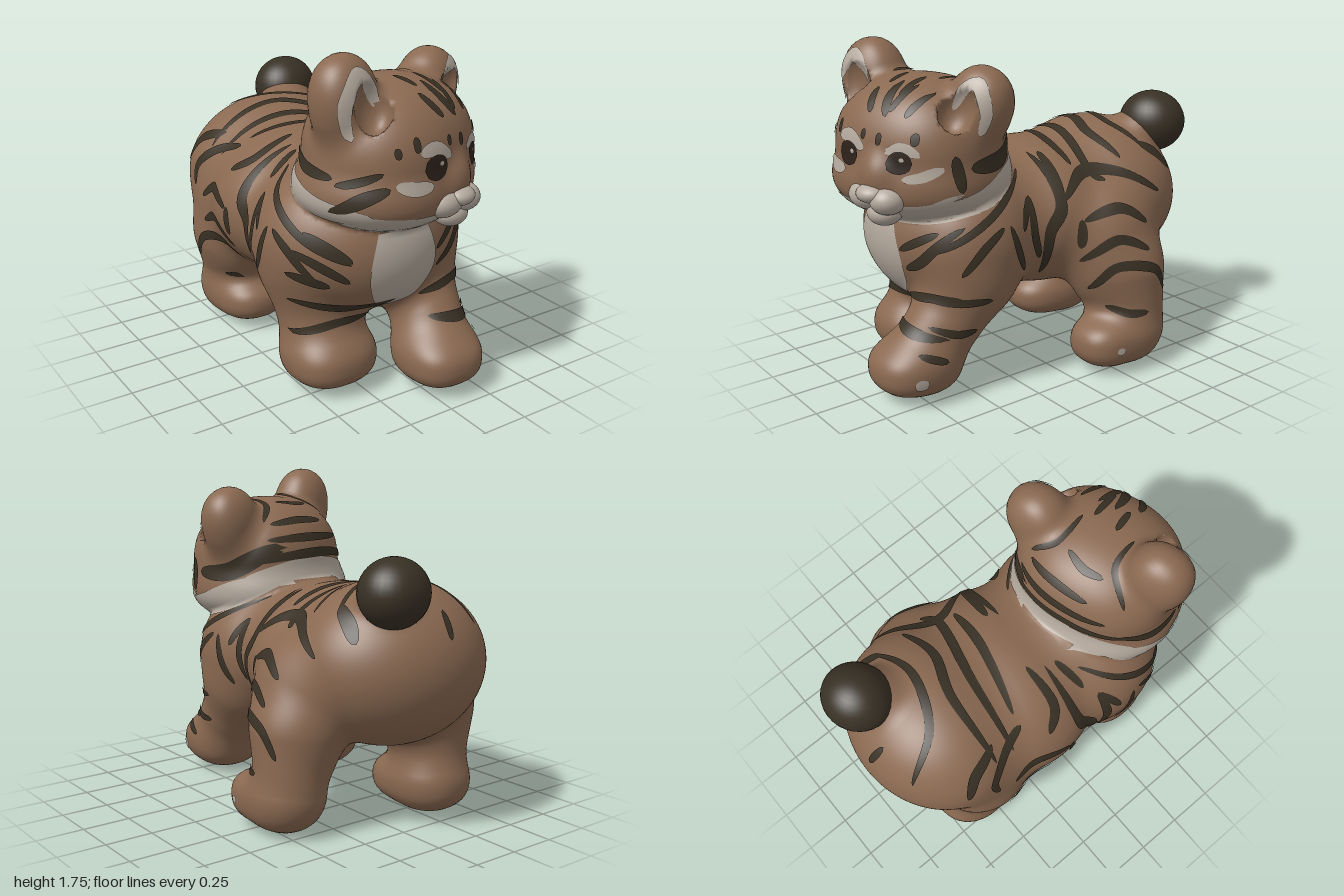
import * as THREE from 'three';

const mat = (name, color) => Object.assign(new THREE.MeshStandardMaterial({ color }), { name });
const FUR = mat('brown fur', 0x8a6951);
const CREAM = mat('cream fur', 0xb5aa9e);
const DARK = mat('dark stripe', 0x383024);
const EYE = mat('eye', 0x2e221b);

// Rounded solid: centre, radii, [yaw, roll], exponent above 2 for a boxier form
function blob(part, c, r, [yaw, roll] = [0, 0], n = 2) {
  const centre = new THREE.Vector3(...c), R = Math.max(...r) * 1.25;
  const inv = new THREE.Quaternion().setFromEuler(new THREE.Euler(0, yaw, roll, 'YXZ')).invert();
  const q = new THREE.Vector3();
  const dist = p => {
    q.subVectors(p, centre);
    const far = q.length() - R;
    if (far > 0.2) return far;
    q.applyQuaternion(inv);
    const a = [Math.abs(q.x) / r[0], Math.abs(q.y) / r[1], Math.abs(q.z) / r[2]];
    const k = Math.max(1e-4, n === 2 ? Math.hypot(...a) : (a[0] ** n + a[1] ** n + a[2] ** n) ** (1 / n));
    let g = 0;
    for (let i = 0; i < 3; i++) g += ((n === 2 ? a[i] / k : (a[i] / k) ** (n - 1)) / r[i]) ** 2;
    return (k - 1) / Math.sqrt(g);
  };
  return { part, dist };
}

// Tapered limb between two points
function limb(part, a, b, ra, rb) {
  const A = new THREE.Vector3(...a), d = new THREE.Vector3(...b).sub(A), q = new THREE.Vector3();
  const dist = p => {
    q.subVectors(p, A);
    const t = Math.min(1, Math.max(0, q.dot(d) / d.lengthSq()));
    return q.addScaledVector(d, -t).length() - ra - (rb - ra) * t;
  };
  return { part, dist };
}

const YAW = 0.33; // the head looks a little to its left
const bodySolids = [
  blob('torso', [-0.12, 0.78, 0.35], [0.5, 0.42, 0.45]),
  blob('torso', [-0.11, 0.78, -0.14], [0.53, 0.4, 0.5]),
  blob('torso', [-0.06, 0.83, -0.56], [0.515, 0.42, 0.44]),
  blob('frontRightLeg', [-0.42, 0.72, 0.3], [0.22, 0.3, 0.28]),
  blob('frontLeftLeg', [0.18, 0.7, 0.42], [0.2, 0.3, 0.25]),
  blob('hindLeftLeg', [0.35, 0.62, -0.36], [0.22, 0.35, 0.28]),
  blob('hindRightLeg', [-0.37, 0.6, -0.46], [0.23, 0.32, 0.28]),
  limb('frontLeftLeg', [0.16, 0.55, 0.43], [0.12, 0.22, 0.69], 0.2, 0.18),
  blob('frontLeftLeg', [0.105, 0.16, 0.75], [0.205, 0.135, 0.22], [0, 0], 2.5),
  limb('frontRightLeg', [-0.35, 0.55, 0.29], [-0.35, 0.23, 0.39], 0.24, 0.205),
  blob('frontRightLeg', [-0.355, 0.155, 0.44], [0.225, 0.135, 0.22], [0, 0], 2.5),
  limb('hindLeftLeg', [0.42, 0.5, -0.4], [0.455, 0.21, -0.42], 0.21, 0.18),
  blob('hindLeftLeg', [0.465, 0.155, -0.28], [0.175, 0.135, 0.23], [0, 0], 2.5),
  limb('hindRightLeg', [-0.36, 0.5, -0.52], [-0.34, 0.21, -0.58], 0.22, 0.18),
  blob('hindRightLeg', [-0.34, 0.145, -0.49], [0.2, 0.135, 0.27], [0, 0], 2.4),
  blob('tailBase', [0.13, 1.18, -0.745], [0.13, 0.11, 0.11]),
];
const headSolids = [
  blob('head', [-0.085, 1.24, 0.55], [0.43, 0.36, 0.38], [YAW, 0], 2.25),
  blob('head', [-0.1, 1.09, 0.54], [0.455, 0.2, 0.41], [YAW, 0], 2.2),
  blob('head', [0.05, 1.16, 0.86], [0.09, 0.11, 0.09], [YAW, 0]),
  blob('rightEar', [-0.385, 1.52, 0.62], [0.175, 0.23, 0.145], [YAW, 0.2], 2.2),
  blob('leftEar', [0.235, 1.455, 0.42], [0.17, 0.215, 0.145], [YAW, -0.4], 2.2),
];
const earHollows = [
  blob('hollow', [-0.335, 1.53, 0.785], [0.1, 0.14, 0.08], [YAW, 0.2]),
  blob('hollow', [0.29, 1.475, 0.585], [0.09, 0.13, 0.08], [YAW, -0.4]),
];
const solids = [...bodySolids, ...headSolids];

const blend = (a, b, k) => Math.min(a, b) - Math.max(k - Math.abs(a - b), 0) ** 2 / (4 * k);
const joined = (list, p, k) => list.reduce((d, s) => blend(d, s.dist(p), k), 9);
function field(p) {
  let d = blend(joined(bodySolids, p, 0.1), joined(headSolids, p, 0.06), 0.02);
  for (const h of earHollows) d = Math.max(d, -h.dist(p));
  return d;
}
function slope(p) {
  const g = new THREE.Vector3(), q = new THREE.Vector3();
  for (const a of ['x', 'y', 'z']) {
    q.copy(p); q[a] += 0.005; g[a] = field(q);
    q[a] -= 0.01; g[a] -= field(q);
  }
  return g.normalize();
}

// Skin the blended solids on a grid and split the skin into named parts
function addSkin(group) {
  const h = 0.02, lo = [-0.76, -0.06, -1.08], n = [76, 94, 108];
  const step = [1, n[0], n[0] * n[1]], total = n[0] * n[1] * n[2];
  const at = i => [i % n[0], Math.floor(i / n[0]) % n[1], Math.floor(i / step[2])];
  const val = new Float32Array(total), p = new THREE.Vector3();
  for (let i = 0; i < total; i++) {
    const c = at(i);
    val[i] = field(p.set(lo[0] + c[0] * h, lo[1] + c[1] * h, lo[2] + c[2] * h));
  }
  const id = new Int32Array(total).fill(-1), pos = [], nor = [], owner = [], faces = {};
  const corner = [0, 1, 2, 3, 4, 5, 6, 7].map(b => (b & 1) * step[0] + (b >> 1 & 1) * step[1] + (b >> 2) * step[2]);
  for (let i = 0; i < total; i++) {
    const c = at(i);
    if (c.some((v, a) => v >= n[a] - 1)) continue;
    const sum = [0, 0, 0];
    let hits = 0;
    for (let b = 0; b < 8; b++) for (let a = 0; a < 3; a++) {
      if (b >> a & 1) continue;
      const u = val[i + corner[b]], v = val[i + corner[b | 1 << a]];
      if ((u < 0) === (v < 0)) continue;
      for (let e = 0; e < 3; e++) sum[e] += e === a ? u / (u - v) : b >> e & 1;
      hits++;
    }
    if (!hits) continue;
    id[i] = owner.length;
    p.set(...sum.map((s, a) => lo[a] + (c[a] + s / hits) * h));
    pos.push(p.x, p.y, p.z);
    nor.push(...slope(p).toArray());
    let best = 9, name = '';
    for (const s of solids) { const d = s.dist(p); if (d < best) { best = d; name = s.part; } }
    owner.push(name);
  }
  for (let i = 0; i < total; i++) for (let a = 0; a < 3; a++) {
    const j = i + step[a];
    if (j >= total || (val[i] < 0) === (val[j] < 0)) continue;
    const b = step[(a + 1) % 3], c = step[(a + 2) % 3];
    const q = [i - b - c, i - c, i, i - b].map(k => id[k]);
    if (val[i] >= 0) q.reverse();
    (faces[owner[q[0]]] ??= []).push(q[0], q[1], q[2], q[0], q[2], q[3]);
  }
  for (const [name, index] of Object.entries(faces)) {
    const g = new THREE.BufferGeometry();
    g.setAttribute('position', new THREE.Float32BufferAttribute(pos, 3));
    g.setAttribute('normal', new THREE.Float32BufferAttribute(nor, 3));
    g.setIndex(index);
    const mesh = new THREE.Mesh(g.toNonIndexed(), FUR);
    mesh.name = name;
    group.add(mesh);
  }
}

// Smooth egg-shaped part turned with the head
function ball(group, name, material, c, r) {
  const mesh = new THREE.Mesh(new THREE.SphereGeometry(1, 32, 20), material);
  mesh.name = name;
  mesh.position.set(...c); mesh.scale.set(...r); mesh.rotation.y = YAW;
  group.add(mesh);
}

// Sides from which markings are laid on the skin: start point, direction, reach
const SIDES = {
  left: [(u, v) => [1.2, v, u], [-1, 0, 0], 1.5], right: [(u, v) => [-1.2, v, u], [1, 0, 0], 1.5],
  front: [(u, v) => [u, v, 1.4], [0, 0, -1], 1.4], top: [(u, v) => [u, 2.1, v], [0, -1, 0], 1.4],
  back: [(u, v) => [u, v, -1.4], [0, 0, 1], 0.8], nape: [(u, v) => [u, v, 0.05], [0, 0, 1], 0.5],
  face: [(u, v) => [-0.02 + 0.946 * u, v, 0.73 - 0.324 * u], [-0.324, 0, -0.946], 0.3],
};

// Strokes are [half width, u, v, u, v, ...], tapered at both ends
function paint(group, name, material, side, lift, strokes) {
  const [start, way, reach] = SIDES[side], dir = new THREE.Vector3(...way), pos = [], nor = [];
  const land = (u, v) => {
    const p = new THREE.Vector3(...start(u, v));
    let far = 0;
    for (let i = 0; i < 150 && far < reach; i++) {
      const d = field(p);
      if (d < -0.01) return null;
      if (d < 0.0006) { const m = slope(p); return { far, m, p: p.addScaledVector(m, lift) }; }
      p.addScaledVector(dir, d * 0.7); far += d * 0.7;
    }
    return null;
  };
  for (const [w, ...uv] of strokes) {
    const pts = [];
    for (let i = 0; i < uv.length; i += 2) pts.push(new THREE.Vector2(uv[i], uv[i + 1]));
    const line = new THREE.SplineCurve(pts);
    const along = Math.max(8, Math.ceil(line.getLength() / 0.022)), across = Math.max(2, Math.ceil(w / 0.012));
    const rows = [];
    for (let i = 0; i <= along; i++) {
      const t = i / along, c = line.getPoint(t), d = line.getTangent(t);
      const half = w * Math.sqrt(Math.max(0.002, Math.sin(Math.PI * t)));
      rows.push(Array.from({ length: across + 1 }, (_, j) => {
        const o = half * (2 * j / across - 1);
        return land(c.x - d.y * o, c.y + d.x * o);
      }));
    }
    for (let i = 0; i < along; i++) for (let j = 0; j < across; j++) {
      const q = [rows[i][j], rows[i + 1][j], rows[i + 1][j + 1], rows[i][j + 1]];
      if (q.includes(null)) continue;
      const f = q.map(s => s.far);
      if (Math.max(...f) - Math.min(...f) > 0.08) continue;
      const face = q[2].p.clone().sub(q[0].p).cross(q[3].p.clone().sub(q[1].p));
      if (face.dot(q[0].m) < 0) q.reverse();
      for (const k of [0, 1, 2, 0, 2, 3]) { pos.push(...q[k].p.toArray()); nor.push(...q[k].m.toArray()); }
    }
  }
  const g = new THREE.BufferGeometry();
  g.setAttribute('position', new THREE.Float32BufferAttribute(pos, 3));
  g.setAttribute('normal', new THREE.Float32BufferAttribute(nor, 3));
  const mesh = new THREE.Mesh(g, material);
  mesh.name = name;
  group.add(mesh);
}

export function createModel() {
  const group = new THREE.Group();
  group.name = 'tigerCub';
  addSkin(group);

  // Tail tip and muzzle
  ball(group, 'tailTip', DARK, [0.16, 1.22, -0.83], [0.185, 0.17, 0.17]);
  ball(group, 'rightMuzzlePad', CREAM, [-0.02, 1.055, 0.89], [0.105, 0.075, 0.095]);
  ball(group, 'leftMuzzlePad', CREAM, [0.115, 1.05, 0.865], [0.09, 0.072, 0.095]);
  ball(group, 'nose', CREAM, [0.055, 1.08, 0.91], [0.085, 0.05, 0.085]);
  ball(group, 'chin', CREAM, [0.06, 0.975, 0.855], [0.09, 0.065, 0.085]);

  // Flank stripes: the shoulder and belly ones match, the hip ones differ
  const flank = [
    [0.018, 0.14, 1.09, 0.46, 0.92, 0.72, 0.76], [0.022, 0.38, 0.88, 0.5, 0.79, 0.6, 0.66],
    [0.022, 0.34, 0.88, 0.29, 0.73, 0.23, 0.62], [0.022, 0.16, 0.98, 0.21, 0.91, 0.25, 0.83],
    [0.026, 0.16, 0.98, 0.17, 0.8, 0.12, 0.66], [0.032, 0, 1.14, 0, 0.92, 0.08, 0.78, 0.07, 0.55],
    [0.024, -0.09, 0.84, -0.08, 0.69], [0.026, -0.1, 0.83, -0.29, 0.88, -0.44, 0.79],
    [0.026, -0.08, 0.62, -0.24, 0.73, -0.41, 0.66], [0.026, -0.13, 0.46, -0.22, 0.59, -0.42, 0.56, -0.51, 0.42],
    [0.024, -0.2, 0.37, -0.28, 0.33, -0.38, 0.33],
  ];
  for (const side of ['left', 'right']) paint(group, side + 'FlankStripes', DARK, side, 0.006, flank);
  paint(group, 'leftHipStripes', DARK, 'left', 0.006,
    [[0.027, -0.02, 0.94, -0.18, 1.04, -0.4, 1.03, -0.61, 0.91], [0.028, -0.6, 1.14, -0.7, 1.08, -0.78, 0.99]]);
  paint(group, 'rightHipStripes', DARK, 'right', 0.006,
    [[0.026, -0.46, 1.11, -0.62, 1.05, -0.7, 0.92], [0.026, -0.28, 1.08, -0.44, 1.03, -0.55, 0.93, -0.54, 0.82]]);
  paint(group, 'rumpStripe', DARK, 'back', 0.006, [[0.02, -0.1, 1.12, -0.08, 0.99]]);
  paint(group, 'leftForelegStripes', DARK, 'left', 0.006,
    [[0.022, 0.7, 0.52, 0.58, 0.52, 0.45, 0.52], [0.022, 0.74, 0.4, 0.62, 0.36, 0.51, 0.36], [0.02, 0.82, 0.28, 0.68, 0.23]]);
  paint(group, 'backStripes', DARK, 'top', 0.006, [
    [0.024, -0.32, -0.88, -0.2, -0.66, 0.08, -0.55, 0.32, -0.62], [0.026, -0.5, -0.49, -0.15, -0.48, 0.1, -0.4, 0.32, -0.44],
    [0.026, -0.5, -0.38, -0.13, -0.34, 0.25, -0.25, 0.36, -0.3], [0.026, -0.38, -0.28, 0, -0.18, 0.24, -0.16],
    [0.026, -0.55, -0.18, -0.46, -0.08, -0.24, -0.08], [0.024, 0.1, -0.05, 0.36, -0.02], [0.022, -0.48, 0.11, -0.3, 0.06],
  ]);
  paint(group, 'forelegStripes', DARK, 'front', 0.006, [
    [0.024, -0.59, 0.53, -0.35, 0.48, -0.13, 0.51], [0.024, -0.57, 0.33, -0.4, 0.39, -0.18, 0.39],
    [0.022, -0.56, 0.9, -0.4, 0.77], [0.022, -0.61, 0.81, -0.4, 0.66], [0.024, -0.62, 0.69, -0.47, 0.63],
    [0.024, 0.01, 0.5, 0.18, 0.53, 0.33, 0.54], [0.024, 0.03, 0.39, 0.18, 0.37, 0.31, 0.34],
    [0.026, 0.07, 0.66, 0.18, 0.73, 0.32, 0.9], [0.022, 0.05, 0.76, 0.24, 0.87],
  ]);

  // Cream chest, jaw, collar, ears and paw spots
  paint(group, 'chestPatch', CREAM, 'front', 0.005, [[0.185, -0.14, 1.02, -0.14, 0.8, -0.13, 0.62, -0.13, 0.47]]);
  paint(group, 'jawPatch', CREAM, 'front', 0.004, [[0.062, -0.55, 1.09, -0.4, 1.0, -0.13, 0.965, 0.15, 0.965, 0.3, 1.0, 0.37, 1.08]]);
  paint(group, 'leftCollar', CREAM, 'left', 0.005, [[0.07, 0.72, 1.0, 0.48, 1.03, 0.28, 1.11, 0.15, 1.18]]);
  paint(group, 'rightCollar', CREAM, 'right', 0.005, [[0.065, 0.88, 1.04, 0.62, 1.05, 0.42, 1.1, 0.25, 1.18]]);
  paint(group, 'napePatch', CREAM, 'nape', 0.005, [[0.07, -0.52, 1.14, -0.3, 1.2, 0, 1.21, 0.26, 1.16]]);
  paint(group, 'innerEars', CREAM, 'face', 0.005, [
    [0.033, -0.41, 1.38, -0.437, 1.55, -0.355, 1.67, -0.278, 1.6, -0.23, 1.5],
    [0.03, 0.43, 1.35, 0.465, 1.47, 0.42, 1.59, 0.34, 1.56, 0.275, 1.46],
  ]);
  paint(group, 'pawSpots', CREAM, 'left', 0.005, [[0.03, 0.86, 0.14, 0.79, 0.14], [0.02, -0.17, 0.15, -0.22, 0.15]]);

  // Face: pale brows, eyes and dark marks
  paint(group, 'eyePatches', CREAM, 'front', 0.005, [
    [0.035, -0.19, 1.32, -0.1, 1.335, 0, 1.28], [0.035, -0.31, 1.19, -0.22, 1.17, -0.12, 1.17],
    [0.026, 0.12, 1.28, 0.19, 1.31, 0.26, 1.27], [0.025, 0.2, 1.16, 0.27, 1.175, 0.32, 1.22],
  ]);
  paint(group, 'eyes', EYE, 'front', 0.008, [[0.06, -0.17, 1.245, -0.1, 1.25, -0.035, 1.245], [0.055, 0.135, 1.24, 0.185, 1.24, 0.235, 1.24]]);
  paint(group, 'eyeGlints', CREAM, 'front', 0.0095, [[0.01, -0.085, 1.265, -0.06, 1.265], [0.01, 0.185, 1.255, 0.205, 1.255]]);
  paint(group, 'faceStripes', DARK, 'front', 0.006, [
    [0.018, -0.09, 1.55, -0.01, 1.45], [0.02, -0.01, 1.58, 0.08, 1.44], [0.018, 0.08, 1.57, 0.09, 1.46], [0.018, 0.17, 1.54, 0.17, 1.44],
    [0.016, -0.29, 1.36, -0.29, 1.31], [0.018, -0.2, 1.4, -0.2, 1.33], [0.014, -0.01, 1.38, -0.01, 1.33], [0.016, 0.08, 1.37, 0.08, 1.31],
    [0.016, 0.23, 1.38, 0.24, 1.32], [0.028, -0.52, 1.05, -0.43, 1.13, -0.33, 1.18], [0.018, -0.5, 1.17, -0.35, 1.25],
  ]);
  paint(group, 'leftCheekStripes', DARK, 'left', 0.006, [[0.05, 0.55, 1.2, 0.33, 1.22, 0.17, 1.36], [0.03, 0.63, 1.27, 0.6, 1.09]]);
  paint(group, 'rightCheekStripe', DARK, 'right', 0.006, [[0.03, 0.7, 1.2, 0.5, 1.22, 0.35, 1.28]]);
  paint(group, 'napeStripes', DARK, 'nape', 0.006, [
    [0.026, -0.52, 1.25, -0.28, 1.3, 0, 1.3, 0.26, 1.26], [0.022, -0.38, 1.38, -0.1, 1.39, 0.14, 1.38],
    [0.018, -0.26, 1.47, -0.08, 1.48, 0.1, 1.46],
  ]);
  paint(group, 'crownStripes', DARK, 'top', 0.006, [
    [0.018, -0.4, 0.4, -0.24, 0.47, -0.2, 0.63], [0.018, 0.07, 0.54, 0.05, 0.36, 0.13, 0.27],
    [0.018, -0.1, 0.6, -0.06, 0.73], [0.018, 0.03, 0.58, 0.07, 0.76], [0.02, -0.24, 0.4, -0.14, 0.36, -0.02, 0.37],
  ]);
  return group;
}
